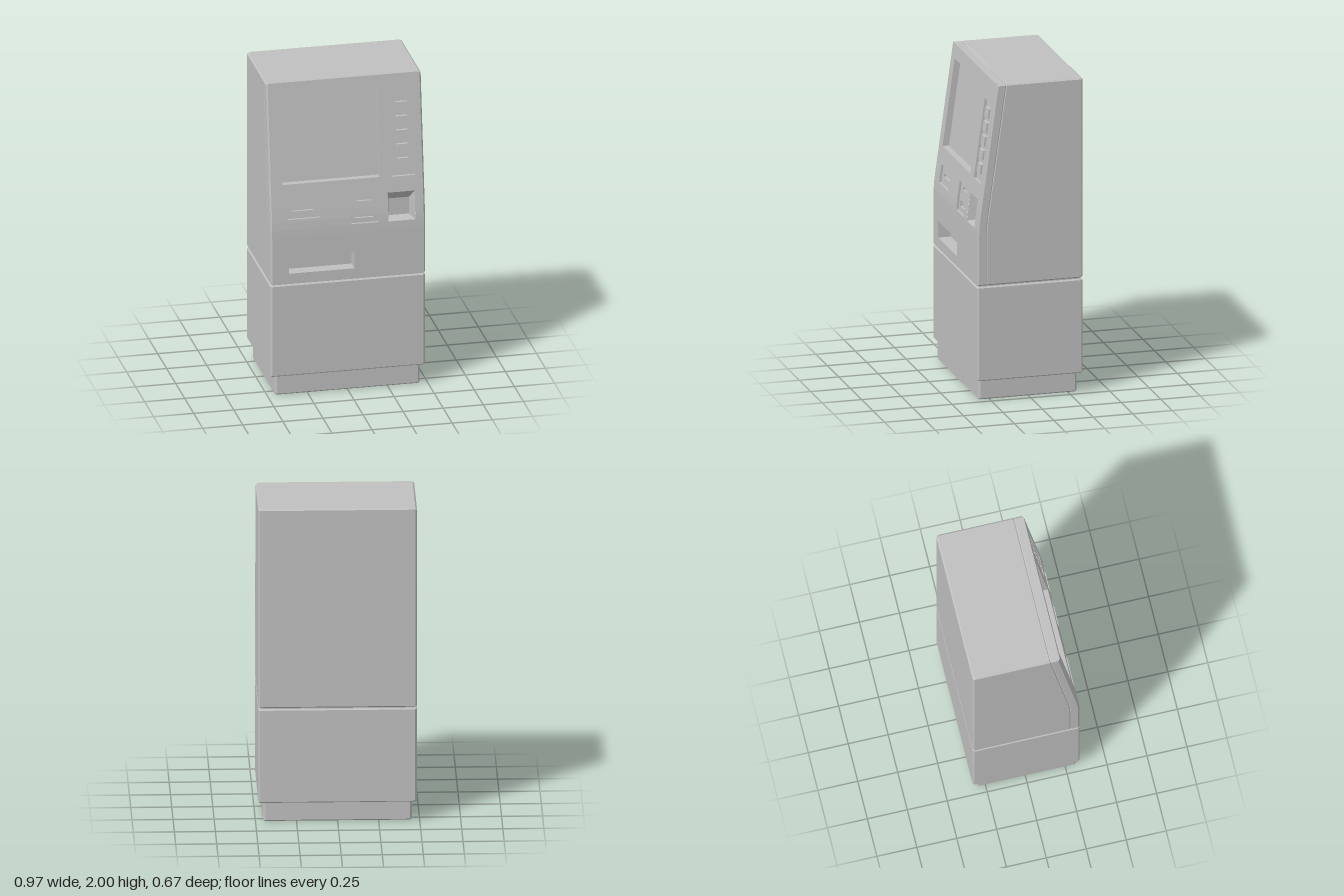
import * as THREE from 'three';

const grey = new THREE.MeshStandardMaterial({ color: 0xc0c0c0 });
grey.name = 'cabinet grey';

// Front outline of the upper cabinet as [y, z], bottom to top
const profile = [[0.73, 0.335], [1.03, 0.335], [1.08, 0.334], [1.13, 0.33], [1.18, 0.324], [2, 0.21]];
function frontZ(y) {
  for (let i = 1; i < profile.length; i++) {
    const [y0, z0] = profile[i - 1], [y1, z1] = profile[i];
    if (y <= y1) return z0 + (z1 - z0) * (y - y0) / (y1 - y0);
  }
  return profile[profile.length - 1][1];
}

// Rectangles on the front: name, x0, x1, y0, y1, depth below the front (null = open hole)
const areas = [
  ['frontPanel', -0.473, 0.473, 0.73, 2, 0],
  ['screen', -0.4, 0.205, 1.365, 1.915, 0.04],
  ['buttonPanel', 0.283, 0.425, 1.36, 1.86, 0.018],
  ['cardReader', -0.375, -0.172, 1.145, 1.26, 0.015],
  ['cardSlot', -0.34, -0.21, 1.19, 1.21, 0.03],
  ['receiptPrinter', 0.02, 0.19, 1.085, 1.27, 0.015],
  ['receiptSlot', 0.06, 0.15, 1.22, 1.24, 0.03],
  ['receiptSlot', 0.045, 0.165, 1.115, 1.15, 0.03],
  ['pocket', 0.252, 0.42, 1.083, 1.263, null],
  ['cashTray', -0.37, 0.04, 0.795, 0.9, 0.08],
];
for (const y of [1.79, 1.702, 1.615, 1.528, 1.44]) {
  areas.push(['selectionButtons', 0.318, 0.39, y - 0.03, y + 0.03, 0]);
}

function quad(out, a, b, c, d) {
  out.push(...a, ...b, ...c, ...a, ...c, ...d);
}

function meshFrom(name, positions) {
  const geo = new THREE.BufferGeometry();
  geo.setAttribute('position', new THREE.Float32BufferAttribute(positions, 3));
  geo.computeVertexNormals();
  return named(name, geo);
}

function named(name, geo) {
  const mesh = new THREE.Mesh(geo, grey);
  mesh.name = name;
  return mesh;
}

// Stepped front: a grid of cells cut at every rectangle edge, with walls between depths
function buildFront(group) {
  const sorted = (list) => [...new Set(list)].sort((a, b) => a - b);
  const xs = sorted(areas.flatMap((r) => [r[1], r[2]]));
  const ys = sorted([...areas.flatMap((r) => [r[3], r[4]]), ...profile.map((p) => p[0])]);
  const parts = {};
  const bucket = (r) => (parts[r[0]] ??= []);
  const areaAt = (i, j) => {
    const x = (xs[i] + xs[i + 1]) / 2, y = (ys[j] + ys[j + 1]) / 2;
    return areas.findLast((r) => x > r[1] && x < r[2] && y > r[3] && y < r[4]);
  };
  const point = (x, y, depth) => [x, y, frontZ(y) - depth];
  const differ = (a, b) => b && a[5] !== null && b[5] !== null && a[5] !== b[5];
  // A wall belongs to the inner (later listed) area
  const owner = (a, b) => (areas.indexOf(a) > areas.indexOf(b) ? a : b);

  for (let i = 0; i < xs.length - 1; i++) {
    for (let j = 0; j < ys.length - 1; j++) {
      const r = areaAt(i, j), d = r[5];
      const [x0, x1, y0, y1] = [xs[i], xs[i + 1], ys[j], ys[j + 1]];
      if (d !== null) {
        quad(bucket(r), point(x0, y0, d), point(x1, y0, d), point(x1, y1, d), point(x0, y1, d));
      }
      const right = i < xs.length - 2 && areaAt(i + 1, j);
      if (differ(r, right)) {
        quad(bucket(owner(r, right)), point(x1, y0, d), point(x1, y0, right[5]),
          point(x1, y1, right[5]), point(x1, y1, d));
      }
      const above = j < ys.length - 2 && areaAt(i, j + 1);
      if (differ(r, above)) {
        quad(bucket(owner(r, above)), point(x0, y1, d), point(x1, y1, d),
          point(x1, y1, above[5]), point(x0, y1, above[5]));
      }
    }
  }

  // Pocket with walls tapering to a smaller floor
  const hole = areas.find((r) => r[0] === 'pocket');
  const corners = (x0, x1, y0, y1, z) =>
    [[x0, y0], [x1, y0], [x1, y1], [x0, y1]].map(([x, y]) => [x, y, z ?? frontZ(y)]);
  const rim = corners(...hole.slice(1, 5));
  const floor = corners(0.27, 0.4, 1.09, 1.2, 0.25);
  const pocket = bucket(hole);
  for (let i = 0; i < 4; i++) {
    const k = (i + 1) % 4;
    quad(pocket, rim[i], rim[k], floor[k], floor[i]);
  }
  quad(pocket, ...floor);

  for (const [name, positions] of Object.entries(parts)) group.add(meshFrom(name, positions));
}

// Sides, back and top of the upper cabinet, lofted through level outlines
function buildShell() {
  const level = (y, inset) => {
    const z = frontZ(y), w = 0.483 - inset, back = -0.335 + inset;
    // One half of the outline, front to back, with a fine groove near the front
    const half = [[0.473, z], [w, z - 0.012], [w, z - 0.055], [w - 0.004, z - 0.06],
      [w, z - 0.065], [w, back + 0.01], [w - 0.01, back]];
    return [...half, ...half.map(([x, pz]) => [-x, pz]).reverse()].map(([x, pz]) => [x, y, pz]);
  };
  const levels = [level(0.73, 0.008), level(0.738, 0),
    ...profile.slice(1, -1).map((p) => level(p[0], 0)), level(1.99, 0), level(2, 0.01)];
  const out = [];
  const top = levels[levels.length - 1], n = top.length;
  top[3][1] = top[n - 4][1] = 1.996;
  for (let k = 1; k < levels.length; k++) {
    const lo = levels[k - 1], hi = levels[k];
    for (let i = 0; i < n - 1; i++) quad(out, lo[i], lo[i + 1], hi[i + 1], hi[i]);
  }
  // Top and underside, strip by strip across the width
  const bottom = levels[0];
  for (let i = 0; i < n / 2 - 1; i++) {
    const m = n - 1 - i;
    quad(out, top[i], top[i + 1], top[m - 1], top[m]);
    quad(out, bottom[m], bottom[m - 1], bottom[i + 1], bottom[i]);
  }
  return meshFrom('upperCabinet', out);
}

// Box with all edges chamfered
function chamferBox(name, x, y0, y1, z0, z1, c) {
  const w = x - c, d = (z1 - z0) / 2 - c;
  const shape = new THREE.Shape([[w, -d + c], [w, d - c], [w - c, d], [-w + c, d],
    [-w, d - c], [-w, -d + c], [-w + c, -d], [w - c, -d]].map((p) => new THREE.Vector2(...p)));
  const geo = new THREE.ExtrudeGeometry(shape, {
    depth: y1 - y0 - 2 * c, bevelEnabled: true, bevelSegments: 1, bevelSize: c, bevelThickness: c,
  });
  geo.rotateX(-Math.PI / 2);
  geo.translate(0, y0 + c, (z0 + z1) / 2);
  return named(name, geo);
}

export function createModel() {
  const model = new THREE.Group();
  model.name = 'cashMachine';
  model.add(chamferBox('plinth', 0.453, 0, 0.135, -0.305, 0.32, 0.008));
  model.add(chamferBox('lowerCabinet', 0.483, 0.125, 0.722, -0.335, 0.335, 0.007));

  // Shadow gap between the two cabinets
  const gap = named('gap', new THREE.BoxGeometry(0.94, 0.03, 0.644));
  gap.position.y = 0.725;
  model.add(gap);

  const upper = new THREE.Group();
  upper.name = 'upperUnit';
  upper.add(buildShell());
  buildFront(upper);
  model.add(upper);
  return model;
}
